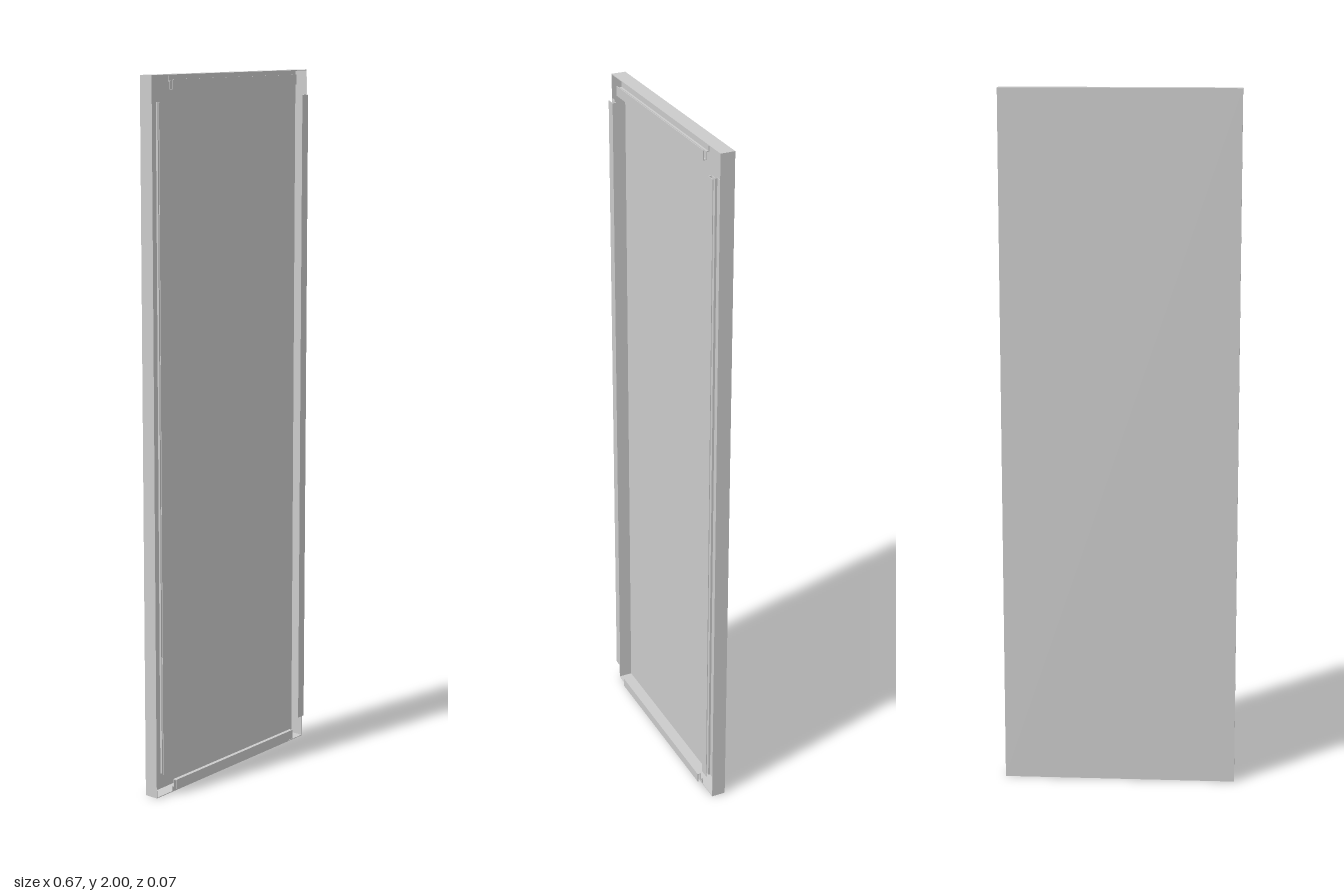
import * as THREE from 'three';

const W = 0.67, H = 2, T = 0.002;       // panel width, height, sheet thickness
const BACK = -0.028, FRONT = 0.013;     // depth of the tray

export function createModel() {
  const model = new THREE.Group();
  const mat = new THREE.MeshStandardMaterial({ color: 0xcccccc, flatShading: true });

  // Tray and rails are built around the panel centre, then turned slightly
  const panel = new THREE.Group();
  panel.name = 'panel';
  panel.position.y = H / 2;
  panel.rotation.y = -0.021;
  model.add(panel);

  const add = (name, geometry, turn = 0) => {
    const mesh = new THREE.Mesh(geometry, mat);
    mesh.name = name;
    mesh.rotation.z = turn;
    panel.add(mesh);
  };

  // Back sheet
  add('backSheet', new THREE.BoxGeometry(W, H, T).translate(0, 0, BACK + T / 2));

  // Folded lip and hook profile: x runs inward from the edge, y runs forward
  const profile = new THREE.Shape([
    [T, 0.011], [0.018, 0.011], [0.018, 0.017], [0.039, 0.017], [0.039, 0.028], [0.012, 0.028],
    [0.012, 0.026], [0.037, 0.026], [0.037, 0.019], [0.016, 0.019], [0.016, 0.013], [T, 0.013],
  ].map(([x, y]) => new THREE.Vector2(x, y)));

  // Four edges: a side wall and a hooked rail that stops short of the corners
  ['right', 'bottom', 'left', 'top'].forEach((side, i) => {
    const upright = i % 2 === 0;
    const half = (upright ? W : H) / 2;
    const wallLength = upright ? H : W - 2 * T;
    const railLength = upright ? 1.86 : 0.536;
    const turn = i * Math.PI / 2;

    const depth = FRONT - BACK - T;
    add(side + 'Wall', new THREE.BoxGeometry(T, wallLength, depth)
      .translate(-half + T / 2, 0, FRONT - depth / 2), turn);

    add(side + 'Rail', new THREE.ExtrudeGeometry(profile, { depth: railLength, bevelEnabled: false })
      .translate(0, 0, -railLength / 2)
      .rotateX(Math.PI / 2)
      .translate(-half, 0, 0), turn);
  });

  return model;
}
